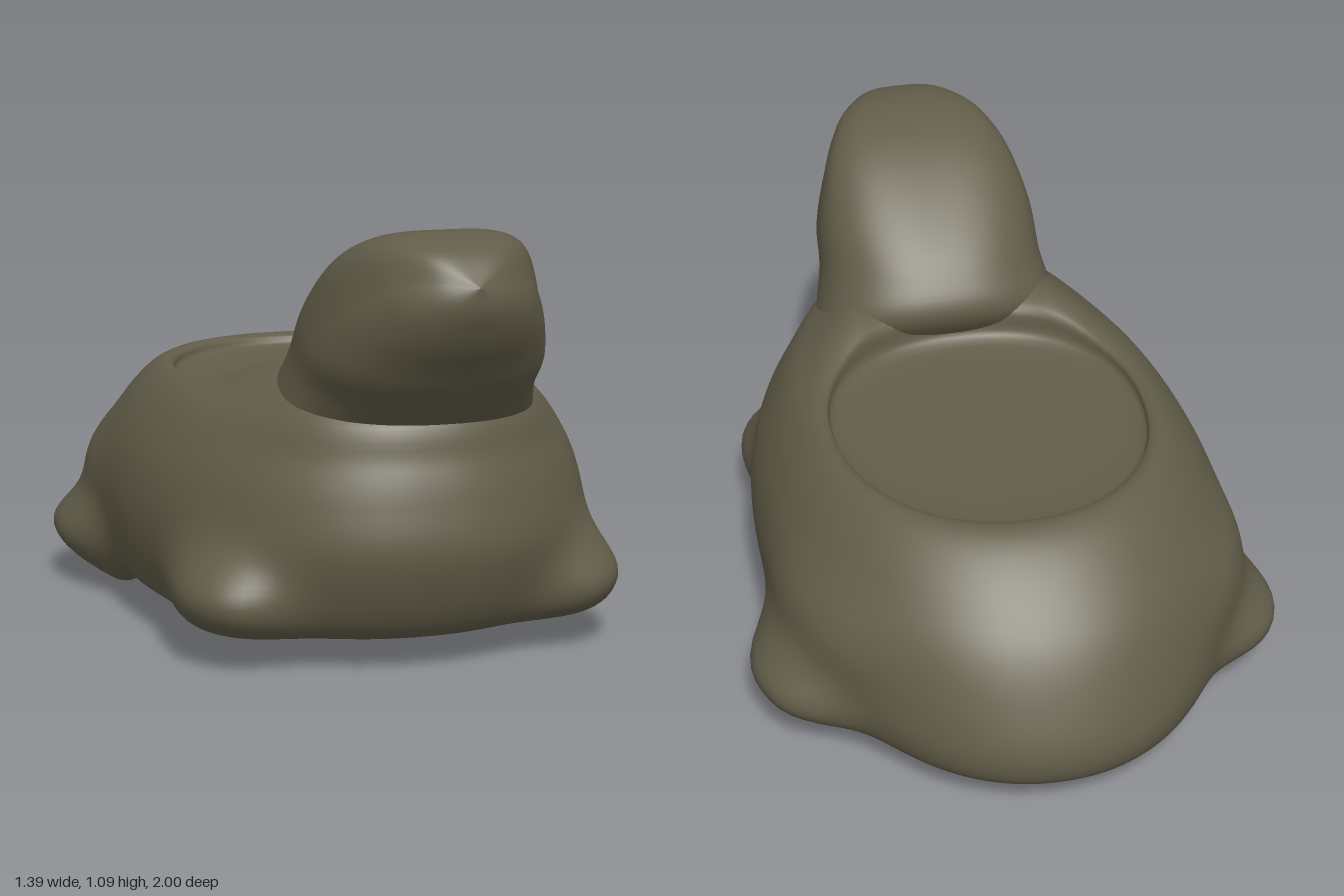
import * as THREE from 'three';

const olive = new THREE.MeshStandardMaterial({ color: 0x625d49 });
olive.name = 'olive clay';

// Smooth skin through a grid of points; columns close into a ring
function skin(rows, cols, point) {
  const pos = [], index = [];
  for (let i = 0; i <= rows; i++) {
    for (let j = 0; j < cols; j++) {
      pos.push(...point(i / rows, (j / cols) * Math.PI * 2));
      if (i === rows) continue;
      const a = i * cols + j, b = i * cols + ((j + 1) % cols);
      index.push(a, a + cols, b, b, a + cols, b + cols);
    }
  }
  const g = new THREE.BufferGeometry();
  g.setAttribute('position', new THREE.Float32BufferAttribute(pos, 3));
  g.setIndex(index);
  g.computeVertexNormals();
  return g;
}

const spline = (pts) => new THREE.CatmullRomCurve3(pts.map((p) => new THREE.Vector3(...p)), false, 'catmullrom', 0.5);
const power = (v, e) => Math.sign(v) * Math.abs(v) ** e;
const { smoothstep } = THREE.MathUtils;

// Body profile: height, half width, front z, back z, lift towards the neck.
// Runs from the hollow underside, round the foot rim, up the shell, into the basin.
const MID = -0.12;
const profile = [
  [0.52, 0, MID, MID, 0], [0.5, 0.25, 0.26, -0.45, 0], [0.42, 0.4, 0.5, -0.68, 0],
  [0.25, 0.45, 0.59, -0.82, 0], [0.11, 0.42, 0.54, -0.82, 0], [0.07, 0.48, 0.62, -0.91, 0],
  [0.085, 0.56, 0.7, -0.98, 0], [0.17, 0.6, 0.76, -1, 0], [0.3, 0.613, 0.8, -0.955, 0],
  [0.42, 0.592, 0.785, -0.89, 0], [0.52, 0.545, 0.755, -0.8, 0], [0.59, 0.49, 0.7, -0.715, 0.05],
  [0.622, 0.445, 0.45, -0.65, 0.09], [0.617, 0.415, 0.29, -0.61, 0.07], [0.588, 0.385, 0.255, -0.57, 0.01],
  [0.58, 0.2, 0.08, -0.35, 0], [0.58, 0, MID, MID, 0],
];

// Swellings of the shell: centre x, y, z, spread across, spread in height, amount
const swellings = [
  [0.45, 0.14, 0.49, 0.18, 0.13, 0.14], // front feet
  [0.57, 0.125, -0.45, 0.2, 0.11, 0.15], // hind feet
  [0.53, 0.33, -0.5, 0.22, 0.12, 0.04], // thighs
];

// Toes drooping from the rim: x, z, depth
const toes = [[0.53, 0.06, 0.075], [0.55, -0.27, 0.05], [-0.53, -0.27, 0.05]];

function bodyGeometry() {
  const shape = spline(profile.map((p) => [p[0], p[1], p[4]]));
  const reach = spline(profile.map((p) => [p[2], p[3], 0]));
  const outerStart = 5 / (profile.length - 1);
  return skin(112, 176, (t, a) => {
    const s = shape.getPoint(t), r = reach.getPoint(t);
    const c = Math.cos(a), n = Math.sin(a);
    const e = n > 0 ? 0.9 : 0.95;
    let x = Math.max(s.y, 0) * power(c, e) + 0.02;
    let z = MID + Math.abs((n > 0 ? r.x : r.y) - MID) * power(n, e);
    const shoulder = 1 - 0.9 * smoothstep(Math.abs(x - 0.02), 0.24, 0.46);
    let y = s.x + s.z * smoothstep(z, -0.3, 0.3) * shoulder;
    const rim = 1 - smoothstep(y, 0.08, 0.24);
    for (const [tx, tz, depth] of toes) {
      const d = ((x - tx) ** 2 + (z - tz) ** 2) / 0.085 ** 2;
      y -= depth * rim * Math.exp(-(d ** 1.6));
    }
    if (t > outerStart) {
      const len = Math.hypot(x, z - MID) || 1;
      const dx = x / len, dz = (z - MID) / len;
      let push = 0;
      for (const [cx, cy, cz, sh, sv, amount] of swellings) {
        const d = ((Math.abs(x) - cx) ** 2 + (z - cz) ** 2) / sh ** 2 + ((y - cy) / sv) ** 2;
        push += amount * Math.exp(-(d ** 1.25));
      }
      x += dx * push;
      z += dz * push;
    }
    return [x, y, z];
  });
}

// Head sections from the neck to the snout: top z, top y, under z, under y, half width
const sections = [
  [0.32, 0.56, 0.52, 0.48, 0.36], [0.23, 0.69, 0.68, 0.575, 0.33], [0.28, 0.8, 0.765, 0.645, 0.305],
  [0.39, 0.91, 0.835, 0.7, 0.295], [0.53, 1.01, 0.89, 0.765, 0.26], [0.66, 1.068, 0.94, 0.825, 0.215],
  [0.78, 1.086, 0.973, 0.88, 0.165], [0.91, 1.06, 0.992, 0.925, 0.09], [0.998, 0.98, 0.998, 0.98, 0],
];

function headGeometry() {
  const top = spline(sections.map((s) => [s[4], s[1], s[0]]));
  const under = spline(sections.map((s) => [0, s[3], s[2]]));
  return skin(48, 80, (t, a) => {
    const p = top.getPoint(t), q = under.getPoint(t);
    // Crown grows boxy and wide towards the brow, throat stays round
    const brow = smoothstep(t, 0.2, 0.65);
    const e = Math.sin(a) > 0 ? 0.85 - 0.27 * brow : 0.9;
    const c = power(Math.cos(a), e), n = power(Math.sin(a), e);
    const w = Math.max(p.x, 0) * (1 + 0.16 * brow * Math.max(n, 0));
    return [
      0.035 - w * c,
      (p.y + q.y) / 2 + ((p.y - q.y) / 2) * n,
      (p.z + q.z) / 2 + ((p.z - q.z) / 2) * n,
    ];
  });
}

export function createModel() {
  const group = new THREE.Group();
  const add = (name, geometry) => {
    const mesh = new THREE.Mesh(geometry, olive);
    mesh.name = name;
    group.add(mesh);
  };
  add('hollowBodyWithBasin', bodyGeometry());
  add('head', headGeometry());
  return group;
}
